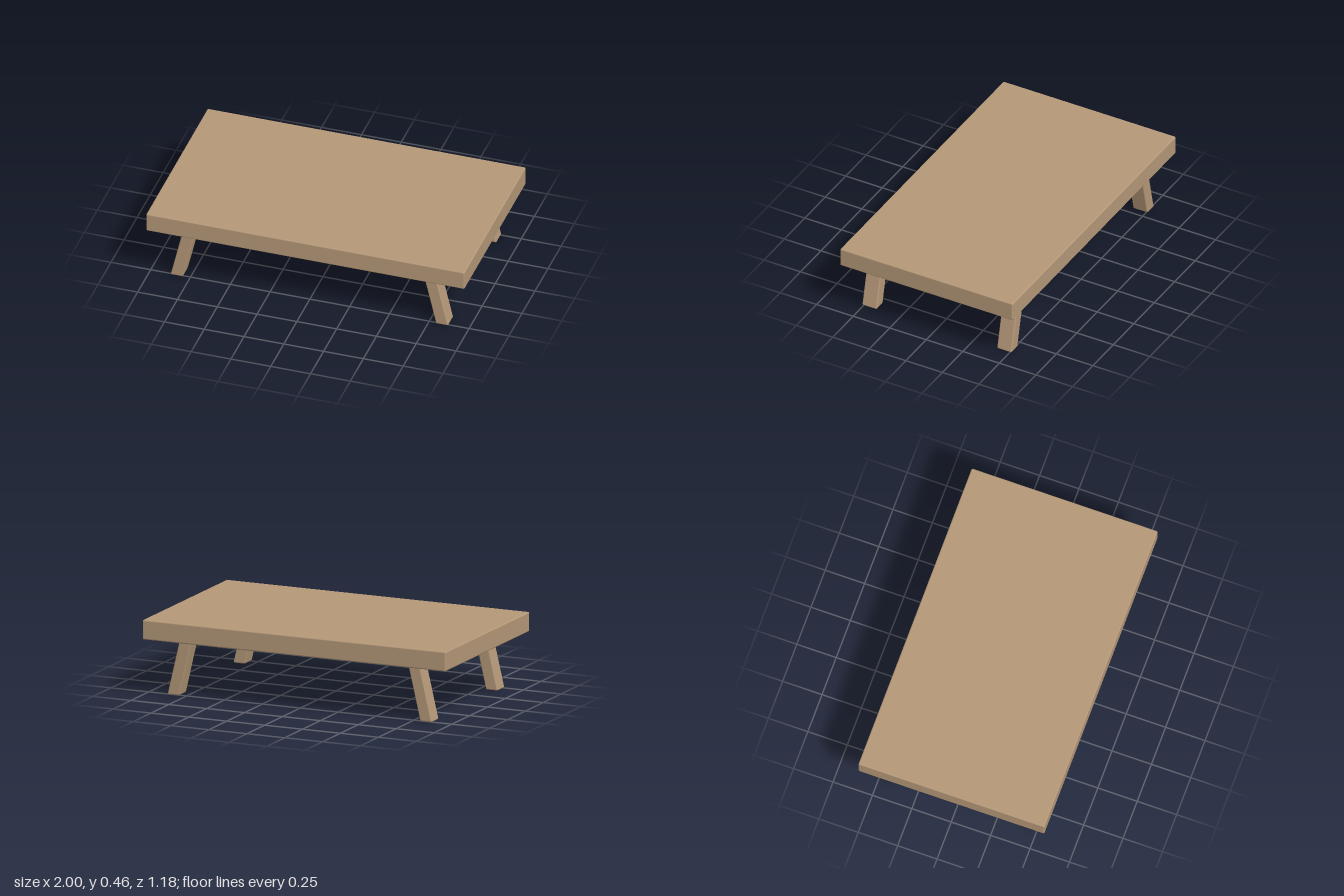
import * as THREE from 'three';
import { RoundedBoxGeometry } from 'three/addons/geometries/RoundedBoxGeometry.js';

export function createModel() {
  const model = new THREE.Group();
  model.name = 'lowTable';
  const wood = new THREE.MeshStandardMaterial({ color: 0xb59878 });
  const legHeight = 0.34, topThickness = 0.12;

  // Slab with softly rounded edges
  const top = new THREE.Mesh(new RoundedBoxGeometry(2, topThickness, 1.18, 3, 0.008), wood);
  top.name = 'tabletop';
  top.position.y = legHeight + topThickness / 2;
  model.add(top);

  // Legs lean outwards along x, with level ends
  for (const sx of [1, -1]) {
    for (const sz of [1, -1]) {
      const geometry = new RoundedBoxGeometry(0.078, legHeight, 0.1, 3, 0.008);
      geometry.applyMatrix4(new THREE.Matrix4().makeShear(0, 0, -sx * 0.235, 0, 0, 0));
      const leg = new THREE.Mesh(geometry, wood);
      leg.name = (sz > 0 ? 'front' : 'back') + (sx > 0 ? 'Left' : 'Right') + 'Leg';
      leg.position.set(sx * 0.794, legHeight / 2, sz * 0.461);
      model.add(leg);
    }
  }
  return model;
}
